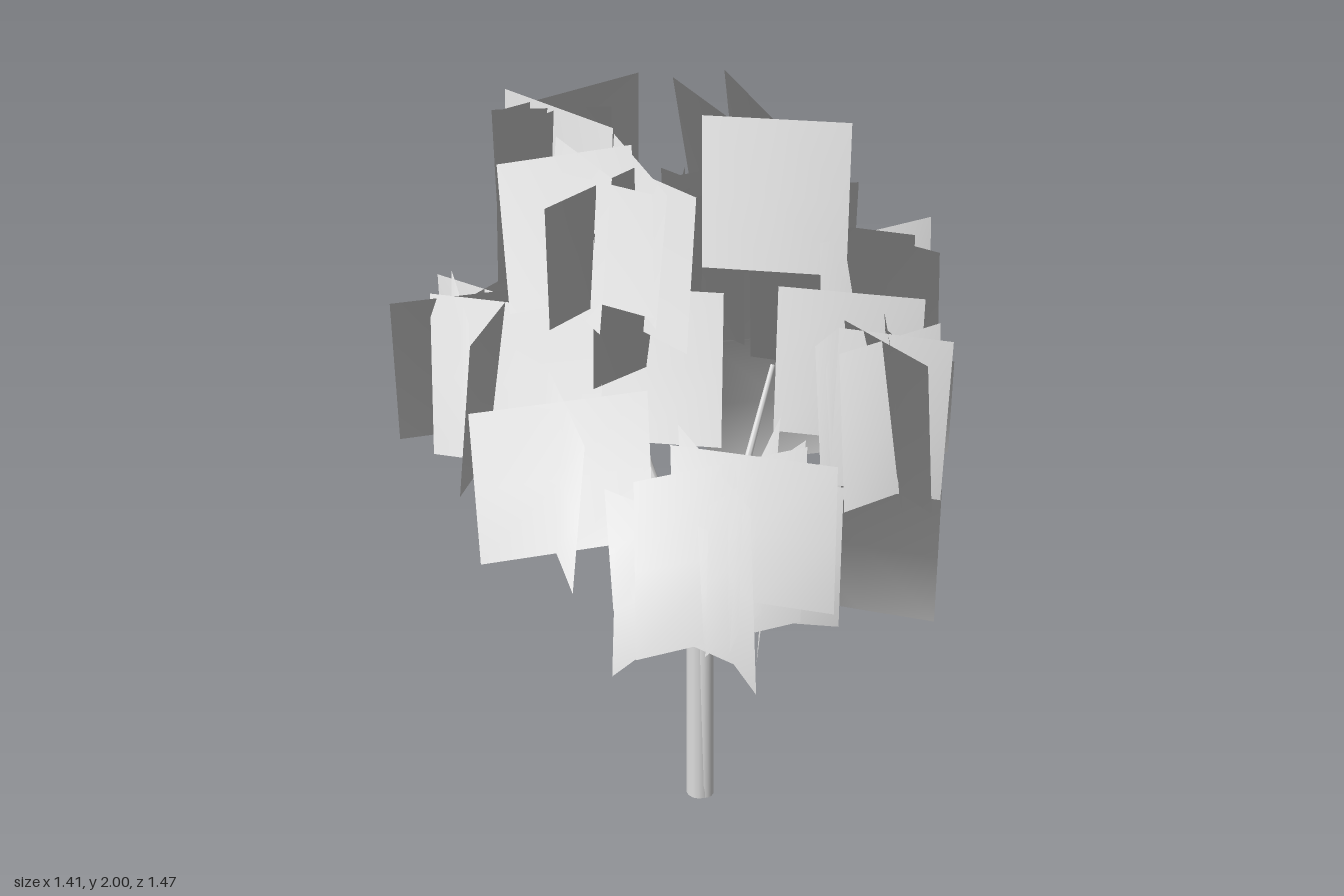
import * as THREE from 'three';

const grey = new THREE.MeshStandardMaterial({ color: 0xdcdcdc, side: THREE.DoubleSide });
grey.name = 'pale grey';

const crownAxis = new THREE.Vector3(0, 0, 0.1); // cards face away from this upright axis
const fork = new THREE.Vector3(0, 0.6, 0.05); // shading normals fan out from here

// Flat foliage card standing on the line (x1,z1)-(x2,z2). Its front faces out of the crown,
// a positive lean tips its top inwards, and its normals fan out softly from the fork.
function card([xa, za, xb, zb, y1, y2, lean = 0.03]) {
  const facing = (za - zb) * ((xa + xb) / 2 - crownAxis.x) + (xb - xa) * ((za + zb) / 2 - crownAxis.z);
  const [x1, z1, x2, z2] = facing < 0 ? [xb, zb, xa, za] : [xa, za, xb, zb];
  const dx = x2 - x1, dz = z2 - z1, len = Math.hypot(dx, dz);
  const geo = new THREE.PlaneGeometry(1, 1, 2, 2);
  const p = geo.attributes.position, n = geo.attributes.normal;
  const v = new THREE.Vector3();
  for (let i = 0; i < p.count; i++) {
    const t = p.getX(i) + 0.5, h = p.getY(i), shift = (-lean * h) / len;
    v.set(x1 + dx * t - dz * shift, y1 + (y2 - y1) * (h + 0.5), z1 + dz * t + dx * shift);
    p.setXYZ(i, v.x, v.y, v.z);
    v.sub(fork).normalize();
    n.setXYZ(i, v.x, v.y, v.z);
  }
  return new THREE.Mesh(geo, grey);
}

// Tapered round limb between two points
function limb(a, b, r1, r2, sides = 10) {
  const from = new THREE.Vector3(...a), to = new THREE.Vector3(...b);
  const dir = to.clone().sub(from);
  const mesh = new THREE.Mesh(new THREE.CylinderGeometry(r2, r1, dir.length(), sides, 1, true), grey);
  mesh.position.copy(from).add(to).multiplyScalar(0.5);
  mesh.quaternion.setFromUnitVectors(new THREE.Vector3(0, 1, 0), dir.normalize());
  return mesh;
}

// Each card: x1, z1, x2, z2, bottom, top, lean
const clusters = {
  backLowFoliage: [
    [-0.21, -0.42, 0.05, -0.73, 0.75, 1.21],
    [-0.20, -0.40, 0.10, -0.66, 0.78, 1.18],
    [0.02, -0.64, 0.28, -0.44, 1.03, 1.37, 0.04],
    [0.26, -0.64, 0.03, -0.37, 1.03, 1.37, 0.04],
    [0.26, -0.39, 0.485, -0.475, 0.97, 1.24, 0],
  ],
  backHighFoliage: [
    [-0.14, -0.27, 0.18, -0.50, 1.24, 1.68],
    [-0.30, -0.45, 0.04, -0.18, 1.53, 1.90, 0.06],
    [-0.26, -0.29, -0.09, -0.53, 1.25, 1.69, 0.04],
    [-0.20, -0.53, 0.11, -0.21, 1.54, 1.91, 0.04],
    [-0.31, -0.35, -0.02, -0.25, 1.27, 1.68, 0.01],
    [-0.27, -0.38, -0.16, -0.10, 1.27, 1.68, 0.02],
    [-0.28, -0.28, 0.00, -0.47, 1.26, 1.66, 0.02],
    [-0.10, -0.53, -0.20, -0.20, 1.27, 1.68, 0.01],
  ],
  crownFoliage: [[0.02, 0.06, 0.35, -0.05, 1.62, 2.0, 0]],
  leftSideFoliage: [
    [-0.69, -0.34, -0.45, -0.01, 1.14, 1.50],
    [-0.42, -0.42, -0.58, 0.00, 1.50, 1.90, 0.01],
    [-0.68, -0.28, -0.27, -0.16, 0.71, 1.09, 0.01],
    [-0.64, -0.11, -0.25, 0.02, 1.53, 1.91, 0.02],
    [-0.60, 0.06, -0.38, -0.26, 0.70, 1.09, 0.02],
    [-0.50, 0.15, -0.44, -0.21, 1.50, 1.90, 0.02],
    [-0.62, -0.17, -0.36, 0.08, 1.38, 1.74, 0.02],
    [-0.60, 0.00, -0.35, -0.16, 1.50, 1.90, 0.02],
    [-0.71, 0.125, -0.39, 0.17, 1.14, 1.48, 0],
    [-0.57, 0.275, -0.54, -0.05, 1.14, 1.48, 0.01],
  ],
  frontLeftFoliage: [
    [-0.60, 0.48, -0.36, 0.25, 1.19, 1.57],
    [-0.58, 0.27, -0.37, 0.51, 1.19, 1.57],
    [-0.40, 0.235, -0.305, 0.62, 1.18, 1.58, 0.05],
    [-0.52, 0.44, -0.10, 0.345, 1.17, 1.58, 0.05],
  ],
  frontMiddleFoliage: [
    [-0.255, 0.67, 0.05, 0.38, 1.05, 1.43, 0.04],
    [-0.25, 0.38, 0.03, 0.68, 1.05, 1.43, 0.04],
    [-0.30, 0.29, 0.12, 0.145, 1.20, 1.60],
    [-0.285, 0.45, -0.08, 0.20, 1.60, 1.95, 0.04],
    [-0.22, 0.08, 0.08, 0.37, 1.60, 1.92],
    [-0.10, 0.37, 0.01, 0.04, 1.40, 1.80, 0.02],
    [-0.29, 0.235, -0.04, 0.41, 1.58, 1.95, 0.04],
    [-0.21, 0.14, 0.10, 0.265, 1.50, 1.88],
    [-0.27, 0.34, 0.06, 0.37, 1.62, 1.92, 0],
    [-0.35, 0.04, -0.16, 0.255, 1.15, 1.55, 0.01],
    [-0.37, 0.255, -0.08, 0.04, 1.15, 1.55, 0.01],
    [-0.07, 0.22, -0.12, 0.53, 1.62, 1.91, 0],
  ],
  frontRightFoliage: [
    [0.265, 0.16, 0.39, 0.47, 0.84, 1.24, -0.02],
    [0.145, 0.73, 0.21, 0.36, 0.88, 1.23, -0.02],
    [0.00, 0.50, 0.38, 0.57, 0.88, 1.23, -0.02],
    [0.18, 0.515, 0.555, 0.435, 1.00, 1.40, -0.02],
    [0.17, 0.39, 0.50, 0.27, 0.85, 1.25, -0.02],
    [0.335, 0.295, 0.42, 0.675, 1.00, 1.40, -0.02],
    [0.17, 0.675, 0.44, 0.355, 0.90, 1.38, -0.01],
    [0.14, 0.39, 0.46, 0.66, 0.89, 1.38, -0.02],
    [0.40, 0.28, 0.34, 0.65, 0.95, 1.35, -0.01],
  ],
  rightSideFoliage: [
    [0.10, -0.04, 0.50, -0.105, 1.35, 1.74, 0.03],
    [0.48, -0.275, 0.31, 0.00, 1.32, 1.71, 0.03],
    [0.255, 0.13, 0.36, -0.275, 0.70, 1.10, 0],
    [0.30, -0.14, 0.57, -0.10, 1.33, 1.71, 0.03],
    [0.425, -0.27, 0.40, 0.20, 1.15, 1.55, 0.03],
    [0.32, -0.15, 0.43, 0.20, 1.10, 1.50, 0.03],
    [0.235, 0.09, 0.57, 0.00, 1.25, 1.62, 0.03],
    [0.30, -0.15, 0.56, 0.06, 1.15, 1.54, 0.03],
    [0.24, 0.00, 0.62, -0.07, 0.70, 1.10, 0.02],
    [0.43, 0.18, 0.69, 0.13, 1.20, 1.59, 0.04],
    [0.50, 0.295, 0.64, 0.04, 1.20, 1.59, 0.04],
    [0.50, 0.02, 0.625, 0.265, 1.20, 1.59, 0.04],
    [0.43, 0.10, 0.69, 0.235, 1.20, 1.59, 0.04],
  ],
};

export function createModel() {
  const tree = new THREE.Group();
  tree.name = 'tree';

  // Trunk: thick lower sleeve and thinner core
  const lower = limb([-0.005, 0, 0.03], [-0.005, 0.52, 0.03], 0.037, 0.034, 14);
  lower.name = 'lowerTrunk';
  const upper = limb([0.01, 0, 0.03], [0.015, 0.6, 0.035], 0.027, 0.024, 14);
  upper.name = 'upperTrunk';
  tree.add(lower, upper);

  // Branches fan out from the fork
  const branches = new THREE.Group();
  branches.name = 'branches';
  const tips = [[-0.38, 1.28, -0.13], [0.02, 1.18, -0.35], [0.30, 1.1, 0.04], [-0.08, 1.25, 0.3], [-0.32, 1.2, 0.25]];
  for (const tip of tips) branches.add(limb([0.015, 0.59, 0.035], tip, 0.016, 0.007, 8));
  tree.add(branches);

  // Foliage clusters of crossed cards
  for (const [name, cards] of Object.entries(clusters)) {
    const cluster = new THREE.Group();
    cluster.name = name;
    for (const c of cards) cluster.add(card(c));
    tree.add(cluster);
  }
  return tree;
}
